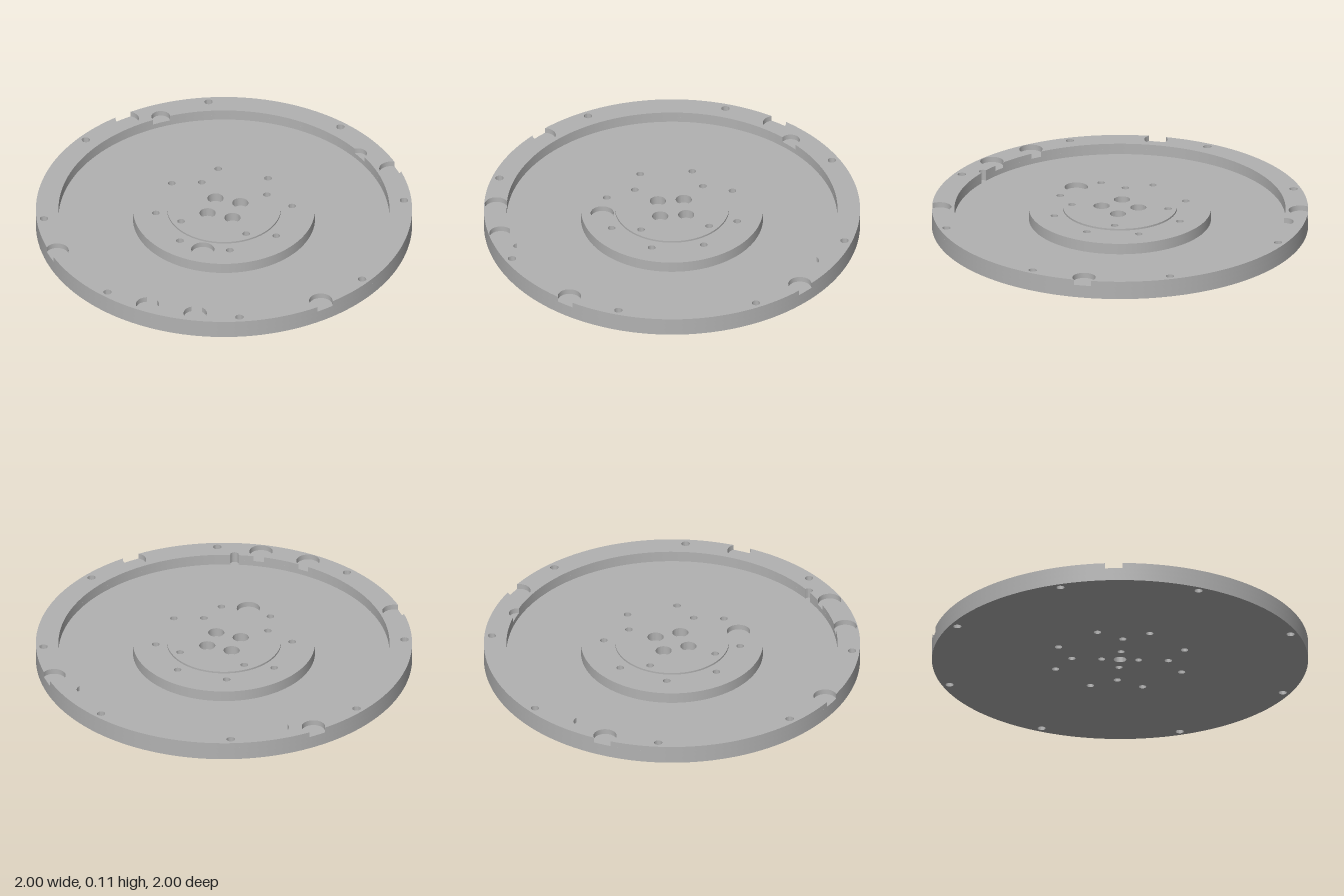
import * as THREE from 'three';
import { toCreasedNormals } from 'three/addons/utils/BufferGeometryUtils.js';

const steel = new THREE.MeshStandardMaterial({ color: 0xb2b2b2 });
steel.name = 'machined grey';

// Points along an arc, finer on large radii
function arc(cx, cy, r, a0, a1) {
  const n = Math.max(2, Math.ceil(Math.abs(a1 - a0) / (2 * Math.PI) * (r > 0.2 ? 144 : 32)));
  return Array.from({ length: n + 1 }, (_, i) => {
    const a = a0 + (a1 - a0) * i / n;
    return new THREE.Vector2(cx + r * Math.cos(a), cy + r * Math.sin(a));
  });
}

// Circle of radius R with round bites [x, z, r]; side -1 cuts inward, +1 outward
function bittenCircle(R, bites = [], side = -1) {
  if (!bites.length) return arc(0, 0, R, 0, 2 * Math.PI).slice(0, -1);
  const cuts = bites.map(([x, z, r]) => {
    const y = -z, d = Math.hypot(x, y);
    const phi = Math.atan2(y, x);
    const half = Math.acos((R * R + d * d - r * r) / (2 * R * d));
    const beta = Math.atan2(R * Math.sin(half), R * Math.cos(half) - d);
    return { x, y, r, phi, half, beta };
  }).sort((a, b) => a.phi - b.phi);
  const pts = [];
  cuts.forEach((c, i) => {
    const next = cuts[(i + 1) % cuts.length];
    const wrap = i === cuts.length - 1 ? 2 * Math.PI : 0;
    const end = side < 0 ? c.phi + c.beta - 2 * Math.PI : c.phi + c.beta;
    pts.push(...arc(c.x, c.y, c.r, c.phi - c.beta, end).slice(0, -1));
    pts.push(...arc(0, 0, R, c.phi + c.half, next.phi - next.half + wrap).slice(0, -1));
  });
  return pts;
}

// Horizontal slab from y0 to y1 with round holes [x, z, r] and optional free opening
function slab(name, outline, y0, y1, holes, opening) {
  const shape = new THREE.Shape(outline);
  for (const [x, z, r] of holes) shape.holes.push(new THREE.Path(bittenCircle(r).map(p => p.add(new THREE.Vector2(x, -z)))));
  if (opening) shape.holes.push(new THREE.Path(opening));
  const geo = new THREE.ExtrudeGeometry(shape, { depth: y1 - y0, bevelEnabled: false });
  geo.rotateX(-Math.PI / 2);
  geo.translate(0, y0, 0);
  const mesh = new THREE.Mesh(toCreasedNormals(geo, 0.5), steel);
  mesh.name = name;
  return mesh;
}

// Ring of equally spaced holes
const ring = (count, radius, r, start) => Array.from({ length: count }, (_, i) => {
  const a = start + i * 2 * Math.PI / count;
  return [radius * Math.cos(a), radius * Math.sin(a), r];
});

export function createModel() {
  const group = new THREE.Group();
  group.name = 'flangePlate';
  const FLOOR = 0.04, POCKET = 0.07, TOP = 0.1, HUB = 0.11;
  const rimR = 1, recessR = 0.88, bossR = 0.484, hubR = 0.303;

  // Through holes
  const rimHoles = ring(8, 0.96, 0.022, Math.PI / 8);
  const bossHoles = ring(8, 0.363, 0.02, Math.PI / 8);
  const innerHoles = ring(4, 0.257, 0.02, Math.PI / 4);
  const boltHoles = ring(4, 0.098, 0.019, Math.PI / 4);
  const counterbores = ring(4, 0.098, 0.043, Math.PI / 4);
  const centreBore = [[0, 0, 0.034]];

  // Shallow round pockets
  const edgePockets = [[0.735, 0.615, 0.062], [-0.735, 0.615, 0.062], [0.735, -0.615, 0.062], [-0.735, -0.615, 0.062]];
  const wallPockets = [[0.133, 0.925, 0.062], [-0.133, 0.925, 0.062], [-0.57, -0.685, 0.05], [0.53, -0.69, 0.046]];
  const keyNotch = [[0.255, 0.848, 0.022]];
  const bossPocket = [[0, 0.372, 0.062]];
  const shared = [...bossHoles, ...innerHoles];

  group.add(
    // Base plate
    slab('basePlate', bittenCircle(rimR), 0, FLOOR, [...rimHoles, ...shared, ...boltHoles, ...centreBore]),
    // Raised rim, solid below and pocketed above
    slab('rimLower', bittenCircle(rimR), FLOOR, POCKET, rimHoles, bittenCircle(recessR, keyNotch, 1)),
    slab('rimUpper', bittenCircle(rimR, edgePockets), POCKET, TOP, rimHoles,
      bittenCircle(recessR, [...keyNotch, ...wallPockets], 1)),
    // Central boss; the bore below is blind
    slab('bossLower', bittenCircle(bossR), FLOOR, 0.06, [...shared, ...boltHoles, ...centreBore]),
    slab('bossMiddle', bittenCircle(bossR), 0.06, POCKET, [...shared, ...counterbores]),
    slab('bossUpper', bittenCircle(bossR), POCKET, TOP, [...shared, ...counterbores, ...bossPocket]),
    // Thin raised hub face
    slab('hubFace', bittenCircle(hubR), TOP, HUB, [...innerHoles, ...counterbores]),
  );
  return group;
}
